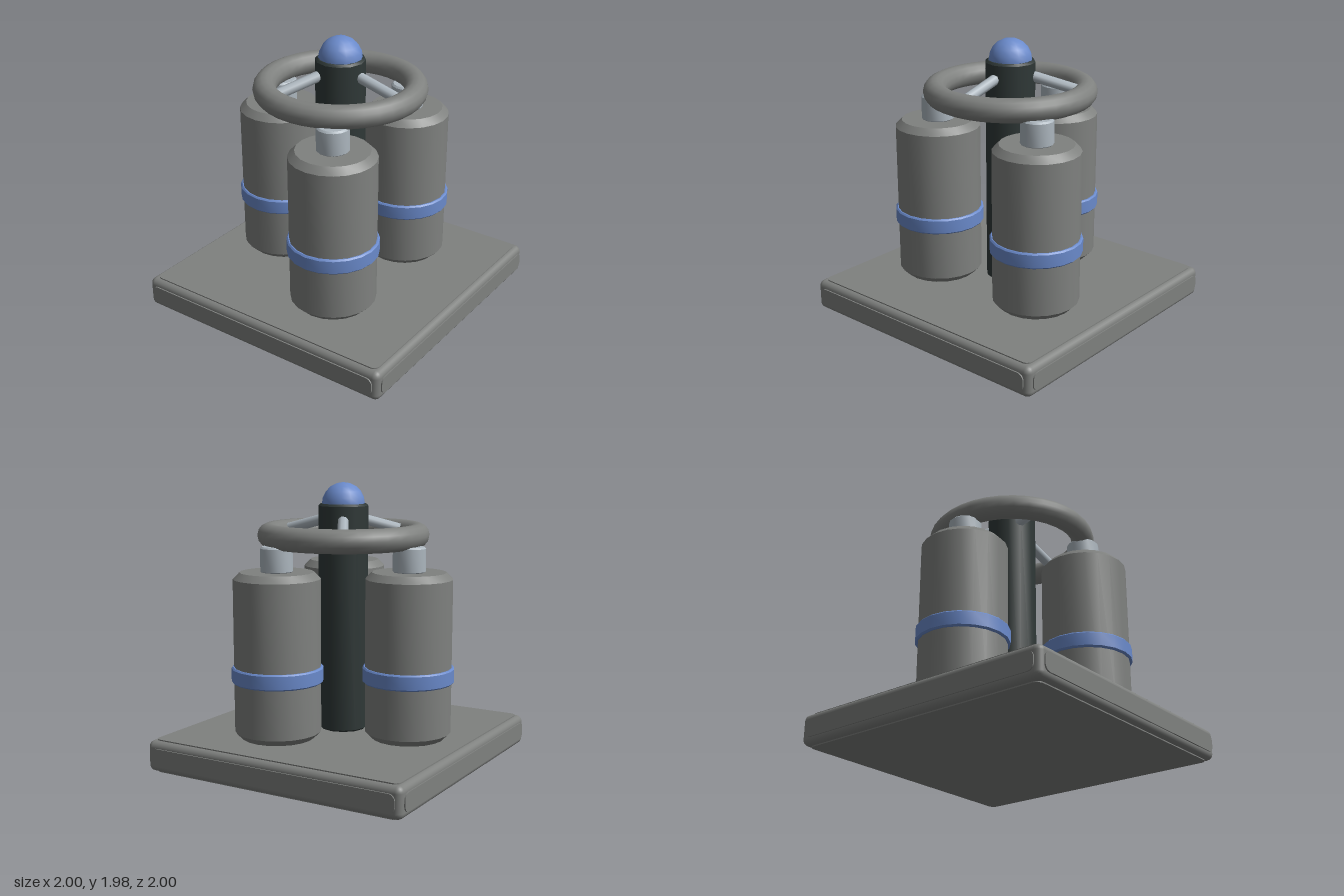
import * as THREE from 'three';
import { toCreasedNormals } from 'three/addons/utils/BufferGeometryUtils.js';
import { RoundedBoxGeometry } from 'three/addons/geometries/RoundedBoxGeometry.js';

const material = (name, color) => {
  const m = new THREE.MeshStandardMaterial({ color });
  m.name = name;
  return m;
};

export function createModel() {
  const grey = material('grey metal', 0x7f817f);
  const dark = material('dark column', 0x2f3837);
  const blue = material('blue paint', 0x6a8acb);
  const steel = material('light steel', 0xacb6be);
  const model = new THREE.Group();
  model.name = 'tankValveStation';

  const add = (parent, name, geometry, mat, x = 0, y = 0, z = 0) => {
    const mesh = new THREE.Mesh(geometry, mat);
    mesh.name = name;
    mesh.position.set(x, y, z);
    parent.add(mesh);
    return mesh;
  };

  // Closed upright cylinder from y0 to y1 with chamfered rims
  const drum = (r, y0, y1, c, sides) => toCreasedNormals(new THREE.LatheGeometry([
    [0, y0], [r - c, y0], [r, y0 + c], [r, y1 - c], [r - c, y1], [0, y1],
  ].map(([x, y]) => new THREE.Vector2(x, y)), sides), 0.6);

  // Thin plate with rounded corners, facing +z
  const plate = (w, h, r, depth) => {
    const x = w / 2, y = h / 2, s = new THREE.Shape();
    s.moveTo(-x + r, -y);
    s.lineTo(x - r, -y);
    s.absarc(x - r, -y + r, r, -Math.PI / 2, 0);
    s.lineTo(x, y - r);
    s.absarc(x - r, y - r, r, 0, Math.PI / 2);
    s.lineTo(-x + r, y);
    s.absarc(-x + r, y - r, r, Math.PI / 2, Math.PI);
    s.lineTo(-x, -y + r);
    s.absarc(-x + r, -y + r, r, Math.PI, Math.PI * 1.5);
    return new THREE.ExtrudeGeometry(s, { depth, bevelEnabled: false, curveSegments: 4 });
  };

  // Base slab with a slightly raised panel on every face
  const base = new THREE.Group();
  base.name = 'base';
  model.add(base);
  add(base, 'baseSlab', new RoundedBoxGeometry(1.982, 0.217, 1.982, 3, 0.045), grey, 0, 0.1165, 0);
  for (let i = 0; i < 4; i++) {
    const a = i * Math.PI / 2;
    add(base, 'sidePanel', plate(1.9, 0.125, 0.045, 0.009), grey,
      Math.sin(a) * 0.991, 0.1165, Math.cos(a) * 0.991).rotation.y = a;
  }
  add(base, 'topPanel', plate(1.9, 1.9, 0.045, 0.008), grey, 0, 0.225, 0).rotation.x = -Math.PI / 2;
  add(base, 'bottomPanel', plate(1.9, 1.9, 0.045, 0.008), grey, 0, 0.008, 0).rotation.x = Math.PI / 2;

  // Central column with domed top
  add(model, 'column', drum(0.174, 0.23, 1.835, 0.015, 12), dark);
  add(model, 'dome', new THREE.SphereGeometry(0.152, 14, 5, 0, Math.PI * 2, 0, Math.PI / 2), blue, 0, 1.83, 0);

  // Three tanks around the column, each with a band and a cap
  for (let i = 0; i < 3; i++) {
    const a = Math.PI / 3 + i * Math.PI * 2 / 3;
    const tank = new THREE.Group();
    tank.name = 'tank';
    tank.position.set(Math.sin(a) * 0.52, 0, Math.cos(a) * 0.52);
    model.add(tank);
    add(tank, 'tankBody', drum(0.3, 0.232, 1.387, 0.046, 20), grey);
    add(tank, 'tankBand', drum(0.318, 0.625, 0.735, 0.01, 20), blue);
    add(tank, 'tankCap', drum(0.113, 1.38, 1.56, 0.012, 14), steel);
  }

  // Hand wheel and its sloping spokes
  const wheel = new THREE.Group();
  wheel.name = 'handWheel';
  model.add(wheel);
  add(wheel, 'rim', new THREE.TorusGeometry(0.52, 0.082, 14, 36), grey, 0, 1.618, 0).rotation.x = Math.PI / 2;
  for (let i = 0; i < 3; i++) {
    const a = i * Math.PI * 2 / 3;
    const at = (r, y) => new THREE.Vector3(Math.sin(a) * r, y, Math.cos(a) * r);
    const from = at(0.1, 1.738), to = at(0.465, 1.64);
    const way = to.clone().sub(from);
    const spoke = add(wheel, 'spoke', new THREE.CylinderGeometry(0.038, 0.038, way.length(), 8), steel);
    spoke.position.copy(from).addScaledVector(way, 0.5);
    spoke.quaternion.setFromUnitVectors(new THREE.Vector3(0, 1, 0), way.normalize());
  }
  return model;
}
